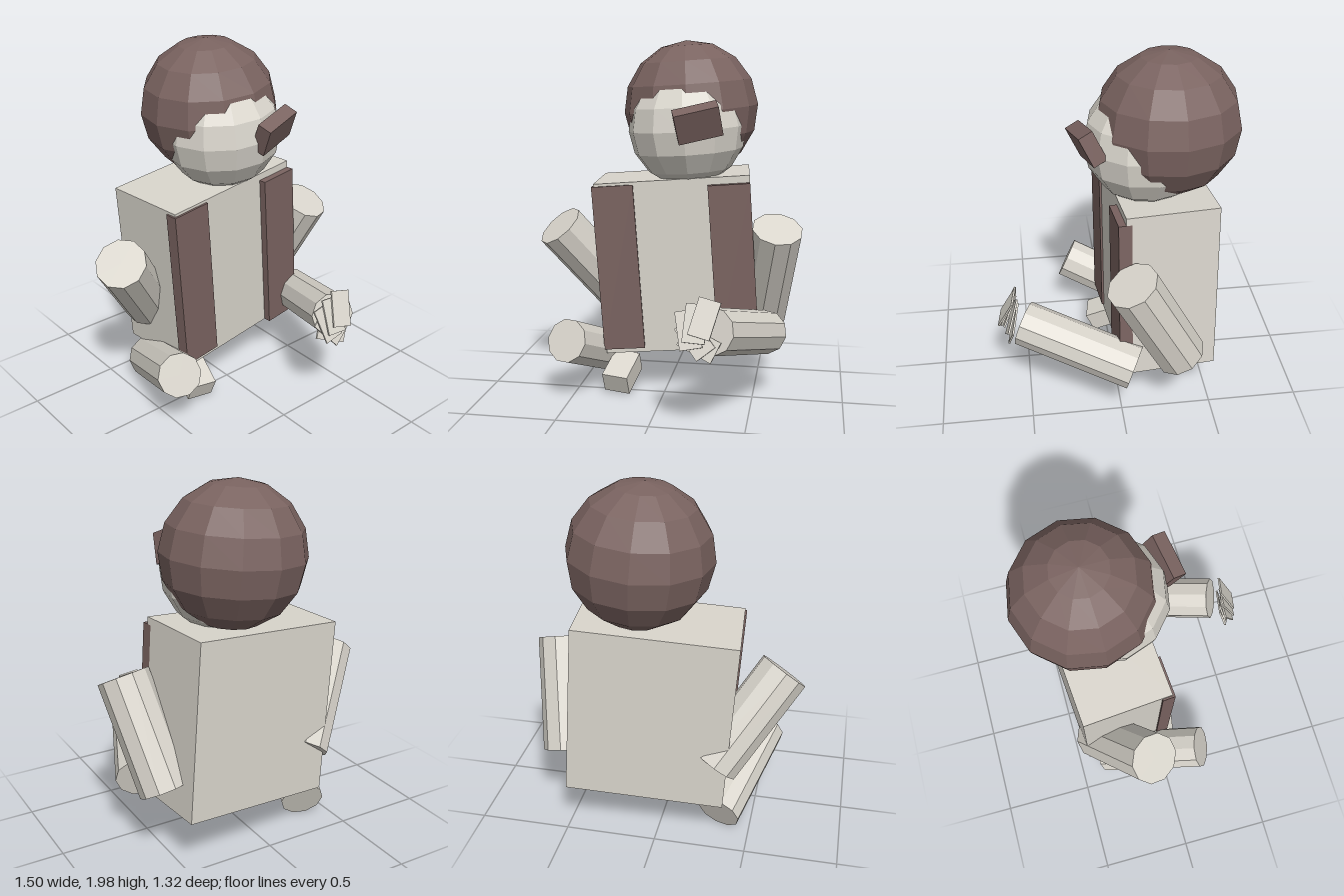
import * as THREE from 'three';

export function createModel() {
  const light = new THREE.MeshStandardMaterial({ color: 0xd9d5cc });
  light.name = 'paleGrey';
  const brown = new THREE.MeshStandardMaterial({ color: 0x7a6360 });
  brown.name = 'brown';
  light.flatShading = brown.flatShading = true;

  const model = new THREE.Group();
  model.name = 'figure';

  function add(name, geometry, material, pos, rot = [0, 0, 0], parent = model) {
    const mesh = new THREE.Mesh(geometry, material);
    mesh.name = name;
    mesh.position.set(...pos);
    mesh.rotation.set(...rot, 'YXZ');
    parent.add(mesh);
    return mesh;
  }
  const box = (w, h, d) => new THREE.BoxGeometry(w, h, d);

  // Ten-sided limb between two end centres
  function limb(name, from, to, radius) {
    const a = new THREE.Vector3(...from);
    const b = new THREE.Vector3(...to);
    const axis = b.clone().sub(a);
    const mesh = add(name, new THREE.CylinderGeometry(radius, radius, axis.length(), 10), light,
      a.add(b).multiplyScalar(0.5).toArray());
    mesh.quaternion.setFromUnitVectors(new THREE.Vector3(0, 1, 0), axis.normalize());
  }

  // Torso with two vest panels, slightly turned and leaning
  const torso = new THREE.Group();
  torso.name = 'torso';
  torso.position.set(0.05, 0.765, -0.23);
  torso.rotation.set(0, 0.085, 0.07, 'YXZ');
  model.add(torso);
  add('body', box(0.86, 0.97, 0.49), light, [0, 0, 0], [0, 0, 0], torso);
  add('rightVestPanel', box(0.23, 0.93, 0.07), brown, [-0.325, 0.005, 0.222], [0, 0, 0], torso);
  add('leftVestPanel', box(0.23, 0.93, 0.07), brown, [0.315, -0.02, 0.25], [0, 0, 0], torso);

  // Head: hair ball with a face ball pushing out below its front
  const lean = [0, 0.085, 0.07];
  add('hair', new THREE.SphereGeometry(0.38, 12, 8), brown, [0.105, 1.62, -0.28], lean);
  add('face', new THREE.SphereGeometry(0.33, 12, 8), light, [0.1, 1.52, -0.17], lean);
  add('eyePatch', box(0.24, 0.17, 0.08), brown, [0.2, 1.57, 0.15], [0.4, 0.3, 0.24]);

  // Arms
  limb('rightUpperArm', [-0.63, 0.95, -0.11], [-0.30, 0.48, -0.36], 0.14);
  limb('rightForearm', [-0.51, 0.37, 0.22], [-0.33, 0.13, -0.33], 0.122);
  limb('leftUpperArm', [0.62, 0.985, -0.03], [0.53, 0.43, -0.31], 0.14);
  limb('leftForearm', [0.33, 0.56, 0.52], [0.57, 0.39, -0.06], 0.122);

  // Right hand block
  add('rightHand', box(0.15, 0.12, 0.21), light, [-0.245, 0.13, 0], [0.43, -0.2, -0.05]);

  // Fan of thin cards held at the left hand: x, y, z, roll
  [
    [0.30, 0.65, 0.605, -0.22],
    [0.255, 0.62, 0.597, -0.03],
    [0.22, 0.585, 0.59, 0.22],
    [0.25, 0.54, 0.583, 0.7],
    [0.27, 0.51, 0.575, 1.15],
  ].forEach(([x, y, z, roll], i) =>
    add('card' + (i + 1), box(0.115, 0.195, 0.01), light, [x, y, z], [-0.45 + i * 0.04, -0.08, roll]));

  return model;
}
